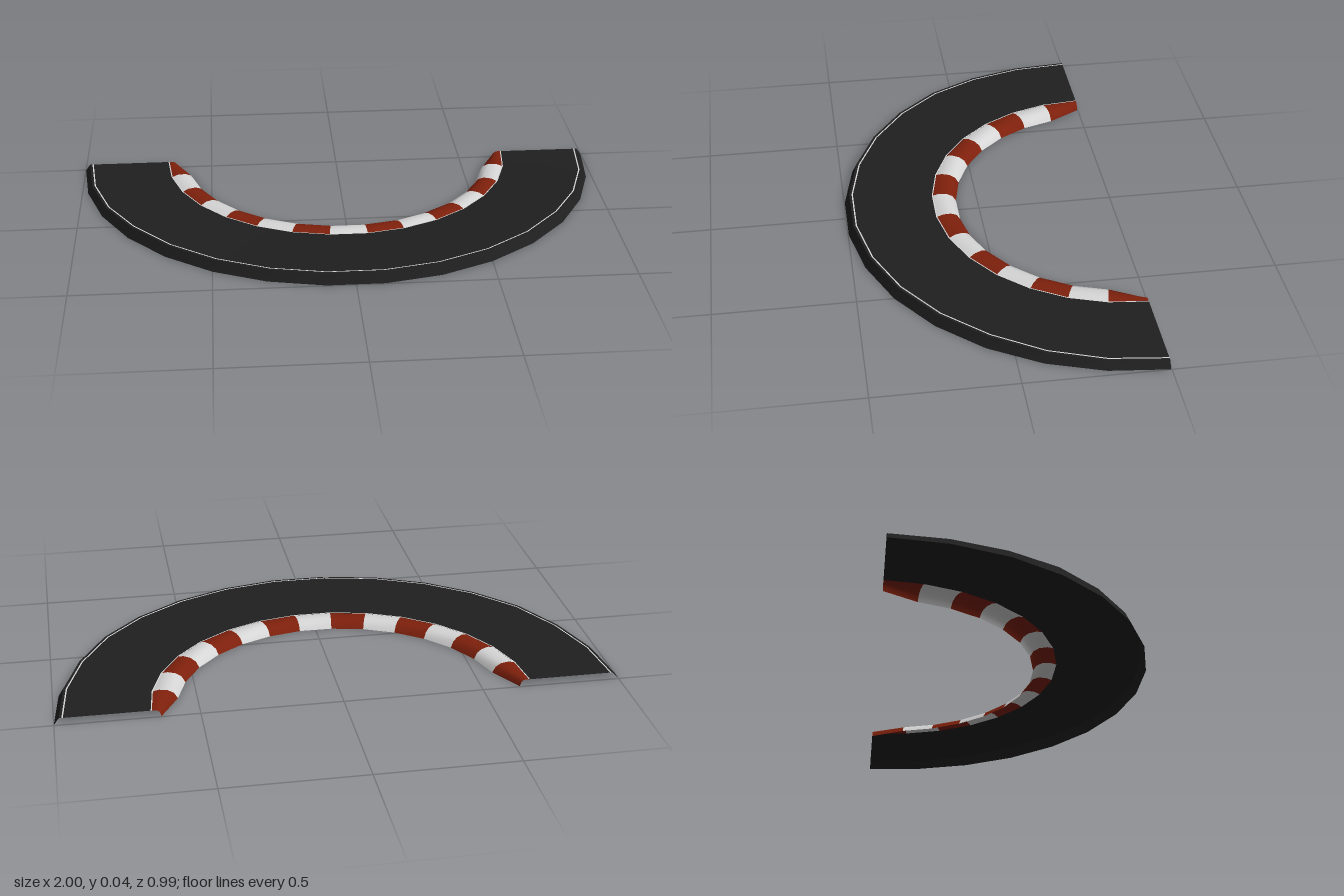
import * as THREE from 'three';
import { toCreasedNormals } from 'three/addons/utils/BufferGeometryUtils.js';

const SEGMENTS = 15;
const STEP = Math.PI / SEGMENTS;
const CENTRE_Z = -0.497;
const INNER = 0.667;   // where road meets kerb
const OUTER_TOP = 0.982;
const BASE = 0.025;

// Height of the banked outer edge at each ring, counted from the nearest end
const BANK = [0.025, 0.028, 0.032, 0.038];
const bank = (i) => BANK[Math.min(i, SEGMENTS - i, 3)];
const roadY = (r, i) => BASE + (bank(i) - BASE) * (r - INNER) / (OUTER_TOP - INNER);

// Sweeps an open [radius, height] profile, outside to inside, from ring i0 to ring i1
function sweep(profileAt, i0, i1, crease) {
  const pos = [], index = [];
  const n = profileAt(i0).length;
  for (let i = i0; i <= i1; i++) {
    const a = -Math.PI / 2 + i * STEP;
    for (const [r, y] of profileAt(i)) pos.push(r * Math.sin(a), y, r * Math.cos(a) + CENTRE_Z);
  }
  for (let i = 0; i < i1 - i0; i++) {
    for (let k = 0; k < n - 1; k++) {
      const a = i * n + k, d = a + 1, b = a + n, c = d + n;
      index.push(a, b, c, a, c, d);
    }
  }
  const g = new THREE.BufferGeometry();
  g.setAttribute('position', new THREE.Float32BufferAttribute(pos, 3));
  g.setIndex(index);
  return toCreasedNormals(g, crease);
}

function paint(name, color) {
  const material = new THREE.MeshStandardMaterial({ color, side: THREE.DoubleSide });
  material.name = name;
  return material;
}

export function createModel() {
  const asphalt = paint('asphalt', 0x1f1f1f);
  const white = paint('white paint', 0xd6d6d6);
  const red = paint('red paint', 0x7e200c);

  const model = new THREE.Group();
  model.name = 'curvedTrack';
  const add = (name, geometry, material, parent = model) => {
    const mesh = new THREE.Mesh(geometry, material);
    mesh.name = name;
    parent.add(mesh);
  };

  // Banked road shell with a sloping outer skirt, open underneath and at the ends
  const road = (i) => [[1, 0], [OUTER_TOP, bank(i)], [INNER, BASE]];
  add('road', sweep(road, 0, SEGMENTS, 0.3), asphalt);

  // Thin painted edge lines
  const line = (r, w) => (i) => [r + w, r].map((q) => [q, roadY(q, i) + 0.0005]);
  add('outerLine', sweep(line(0.968, 0.005), 0, SEGMENTS, 0.3), white);
  add('innerLine', sweep(line(INNER, 0.004), 0, SEGMENTS, 0.3), white);

  // Rounded kerb blocks, narrowing at both ends of the bend
  const kerb = (i) => {
    const end = i === 0 || i === SEGMENTS;
    const width = end ? 0.032 : 0.087;
    const top = end ? 0.025 : 0.032;
    return [
      [INNER, BASE],
      [INNER - width * 0.25, top],
      [INNER - width * 0.6, top - 0.001],
      [INNER - width * 0.85, top * 0.65],
      [INNER - width, 0],
    ];
  };
  const kerbs = new THREE.Group();
  kerbs.name = 'kerb';
  model.add(kerbs);
  for (let i = 0; i < SEGMENTS; i++) {
    add('kerbBlock' + (i + 1), sweep(kerb, i, i + 1, 0.9), i % 2 ? white : red, kerbs);
  }

  return model;
}
